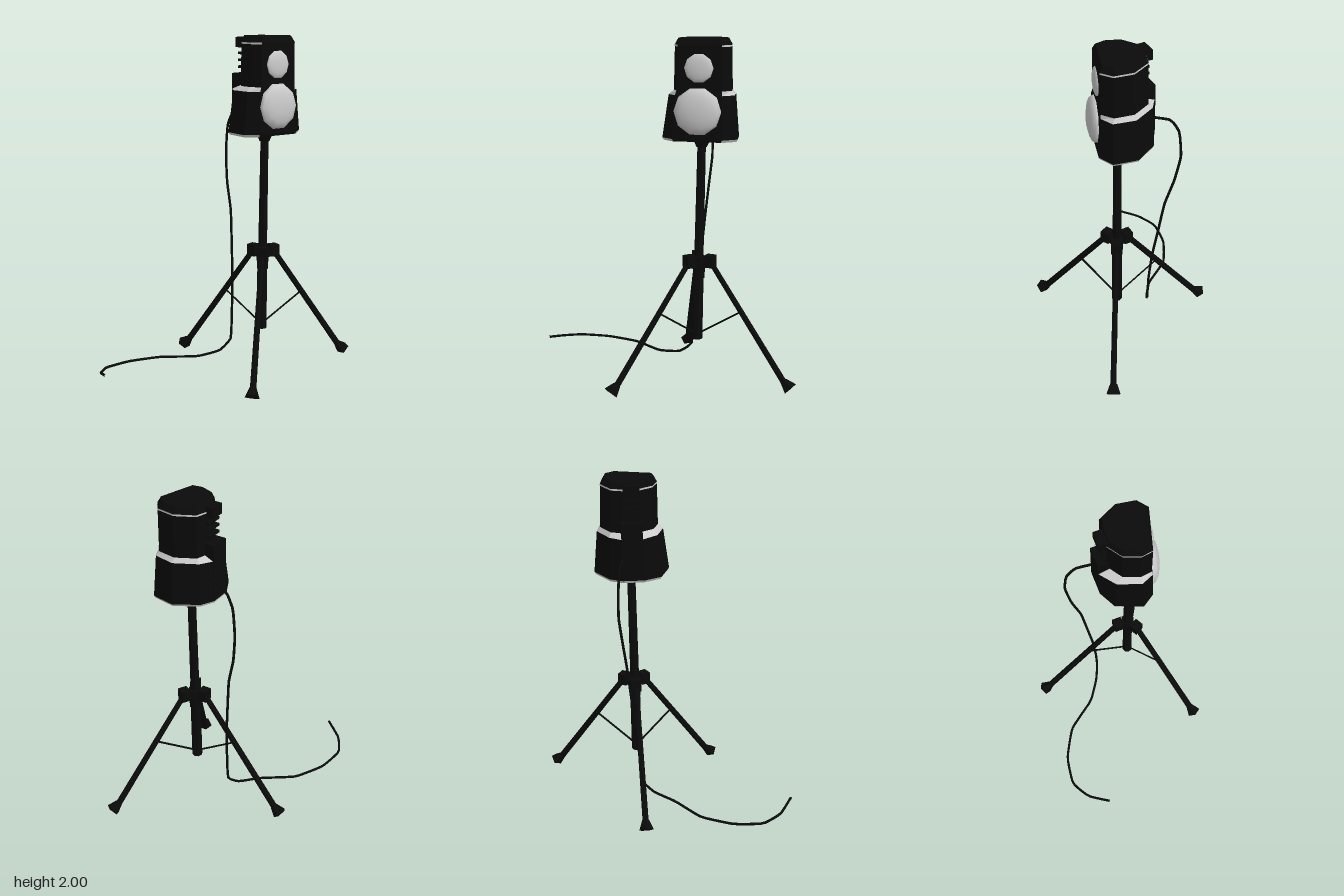
import * as THREE from 'three';

const black = new THREE.MeshStandardMaterial({ color: 0x0a0a0a, flatShading: true });
const grey = new THREE.MeshStandardMaterial({ color: 0xcccccc, flatShading: true, side: THREE.DoubleSide });
const coneGrey = new THREE.MeshStandardMaterial({ color: 0xcccccc });
const V = (x, y, z) => new THREE.Vector3(x, y, z);
const FRONT_EDGE = 6;

function add(parent, name, geometry, material = black) {
  const mesh = new THREE.Mesh(geometry, material);
  mesh.name = name;
  parent.add(mesh);
  return mesh;
}

// Straight tapered bar from a to b
function rod(parent, name, a, b, ra, rb = ra, sides = 6) {
  const dir = b.clone().sub(a);
  const mesh = add(parent, name, new THREE.CylinderGeometry(rb, ra, dir.length(), sides));
  mesh.position.copy(a).add(b).multiplyScalar(0.5);
  mesh.quaternion.setFromUnitVectors(V(0, 1, 0), dir.normalize());
  return mesh;
}

// Skin through stacked outlines [y, [[x, z], ...]]; trims stay open and skip one edge
function loft(sections, { caps = true, skip = -1 } = {}) {
  const pos = [];
  const rings = sections.map(([y, pts]) => pts.map(([x, z]) => [x, y, z]));
  const n = rings[0].length;
  for (let s = 0; s < rings.length - 1; s++) {
    const lo = rings[s], hi = rings[s + 1];
    for (let i = 0; i < n; i++) {
      if (i === skip) continue;
      const j = (i + 1) % n;
      pos.push(...lo[j], ...lo[i], ...hi[i], ...lo[j], ...hi[i], ...hi[j]);
    }
  }
  if (caps) {
    const top = rings[rings.length - 1], bottom = rings[0];
    for (let i = 1; i < n - 1; i++) {
      pos.push(...top[0], ...top[i + 1], ...top[i]);
      pos.push(...bottom[0], ...bottom[i], ...bottom[i + 1]);
    }
  }
  const g = new THREE.BufferGeometry();
  g.setAttribute('position', new THREE.Float32BufferAttribute(pos, 3));
  g.computeVertexNormals();
  return g;
}

const scaled = (pts, k) => pts.map(([x, z]) => [0.21 + (x - 0.21) * k, 0.15 + (z - 0.15) * k]);

function buildSpeaker() {
  const speaker = new THREE.Group();
  speaker.name = 'speaker';
  // Cabinet outlines, from the back left corner round by the back
  const base = [[0.04, 0.02], [0.14, -0.03], [0.265, -0.03], [0.34, 0.01], [0.42, 0.145], [0.395, 0.285], [0.3, 0.325], [0.03, 0.245], [-0.02, 0.17]];
  const waist = [[0.06, 0.04], [0.15, -0.03], [0.265, -0.03], [0.335, 0.02], [0.4, 0.15], [0.375, 0.275], [0.3, 0.31], [0.045, 0.24], [0.015, 0.17]];
  const upper = [[0.08, 0.08], [0.17, 0.02], [0.26, 0.02], [0.325, 0.04], [0.38, 0.15], [0.362, 0.26], [0.3, 0.307], [0.055, 0.237], [0.045, 0.17]];
  const head = upper.map(([x, z]) => [0.21 + (x - 0.21) * 0.97, z]);
  add(speaker, 'cabinet', loft([
    [1.43, scaled(base, 0.96)], [1.445, base], [1.685, waist], [1.71, upper],
    [1.965, head], [2, scaled(head, 0.88)],
  ]));

  // Pale trims on the ledge, under the head and round the base
  const trim = { caps: false, skip: FRONT_EDGE };
  add(speaker, 'ledgeTrim', loft([[1.688, scaled(waist, 1.001)], [1.713, scaled(upper, 1.004)]], trim), grey);
  add(speaker, 'headTrim', loft([[1.955, scaled(head, 1.006)], [1.965, scaled(head, 1.006)]], trim), grey);
  add(speaker, 'baseTrim', loft([[1.429, scaled(base, 0.963)], [1.443, scaled(base, 1.001)]], trim), grey);

  // Rear panel, head overhang and cooling fins
  const back = (name, y0, y1, z0, w) => {
    const m = add(speaker, name, new THREE.BoxGeometry(w, y1 - y0, 0.1 - z0));
    m.position.set(0.21, (y0 + y1) / 2, (0.1 + z0) / 2);
  };
  back('rearPanel', 1.46, 1.78, -0.032, 0.12);
  back('headOverhang', 1.93, 1.99, -0.02, 0.09);
  for (let i = 0; i < 3; i++) back('coolingFin', 1.81 + i * 0.04, 1.825 + i * 0.04, 0.002, 0.1);

  // Drivers: shallow faceted domes facing out of the front panel
  const driver = (name, x, y, z, r, depth) => {
    const g = new THREE.SphereGeometry(r, 10, 4, 0, Math.PI * 2, 0, Math.PI / 2);
    g.scale(1, depth / r, 1);
    g.rotateX(Math.PI / 2);
    const m = add(speaker, name, g, coneGrey);
    m.position.set(x, y, z);
    m.rotation.set(-0.04, -0.28, 0, 'YXZ');
  };
  driver('woofer', 0.167, 1.6, 0.281, 0.135, 0.045);
  driver('tweeter', 0.175, 1.84, 0.271, 0.083, 0.02);
  return speaker;
}

function buildStand() {
  const stand = new THREE.Group();
  stand.name = 'stand';
  const foot = V(0.185, 0.24, 0.165), mid = V(0.193, 0.74, 0.165), top = V(0.205, 1.44, 0.165);
  rod(stand, 'lowerPole', foot, mid, 0.032, 0.03, 8);
  rod(stand, 'upperPole', mid, top, 0.027, 0.024, 8);
  rod(stand, 'poleCollar', V(0.193, 0.61, 0.165), V(0.194, 0.74, 0.165), 0.033, 0.04, 8);
  rod(stand, 'topMount', V(0.204, 1.385, 0.165), top, 0.03, 0.055, 8);

  // Three legs, each with bracket, brace and foot
  const legs = [
    [V(0.135, 0.72, 0.2), V(-0.32, 0.02, 0.445)],
    [V(0.255, 0.72, 0.2), V(0.685, 0.02, 0.445)],
    [V(0.19, 0.72, 0.1), V(0.18, 0.02, -0.42)],
  ];
  for (const [a, b] of legs) {
    const leg = new THREE.Group();
    leg.name = 'leg';
    stand.add(leg);
    rod(leg, 'legTube', a, b, 0.017, 0.02);
    rod(leg, 'brace', V(0.185, 0.265, 0.165), a.clone().lerp(b, 0.4), 0.006, 0.006, 4);
    const bracket = add(leg, 'legBracket', new THREE.BoxGeometry(0.06, 0.07, 0.055));
    bracket.position.set(a.x, 0.72, a.z);
    bracket.rotation.y = Math.atan2(b.x - a.x, b.z - a.z);
    rod(leg, 'bracketArm', V(0.193, 0.69, 0.165), V(a.x, 0.71, a.z), 0.025);
    // Foot widens toward the ground, where it is cut flat
    const out = V(b.x - a.x, 0, b.z - a.z).normalize();
    const shoe = rod(leg, 'foot', b.clone().lerp(a, 0.06), b.clone().addScaledVector(out, 0.012), 0.022, 0.045, 5);
    shoe.updateMatrix();
    shoe.geometry.applyMatrix4(shoe.matrix);
    shoe.position.set(0, 0, 0);
    shoe.quaternion.identity();
    const p = shoe.geometry.attributes.position;
    for (let i = 0; i < p.count; i++) p.setY(i, Math.max(0, p.getY(i)));
    shoe.geometry.computeVertexNormals();
  }
  return stand;
}

function buildCable() {
  // Hangs from the rear panel, then trails across the floor
  const points = [
    [0.265, 1.575, -0.02], [0.29, 1.54, -0.12], [0.3, 1.45, -0.17], [0.303, 1.28, -0.185],
    [0.28, 1.1, -0.16], [0.256, 0.93, -0.115], [0.232, 0.72, -0.09], [0.205, 0.5, -0.065],
    [0.185, 0.3, -0.055], [0.172, 0.13, -0.055], [0.1, 0.065, -0.09], [-0.02, 0.043, -0.175],
    [-0.155, 0.04, -0.355], [-0.335, 0.043, -0.455], [-0.51, 0.05, -0.48],
    [-0.63, 0.068, -0.415], [-0.715, 0.1, -0.3],
  ].map((p) => V(...p));
  const curve = new THREE.CatmullRomCurve3(points, false, 'catmullrom', 0.2);
  const cable = new THREE.Group();
  cable.name = 'cable';
  add(cable, 'cableCord', new THREE.TubeGeometry(curve, 80, 0.008, 5));
  return cable;
}

export function createModel() {
  const model = new THREE.Group();
  model.name = 'speakerOnTripod';
  model.add(buildSpeaker(), buildStand(), buildCable());
  return model;
}
